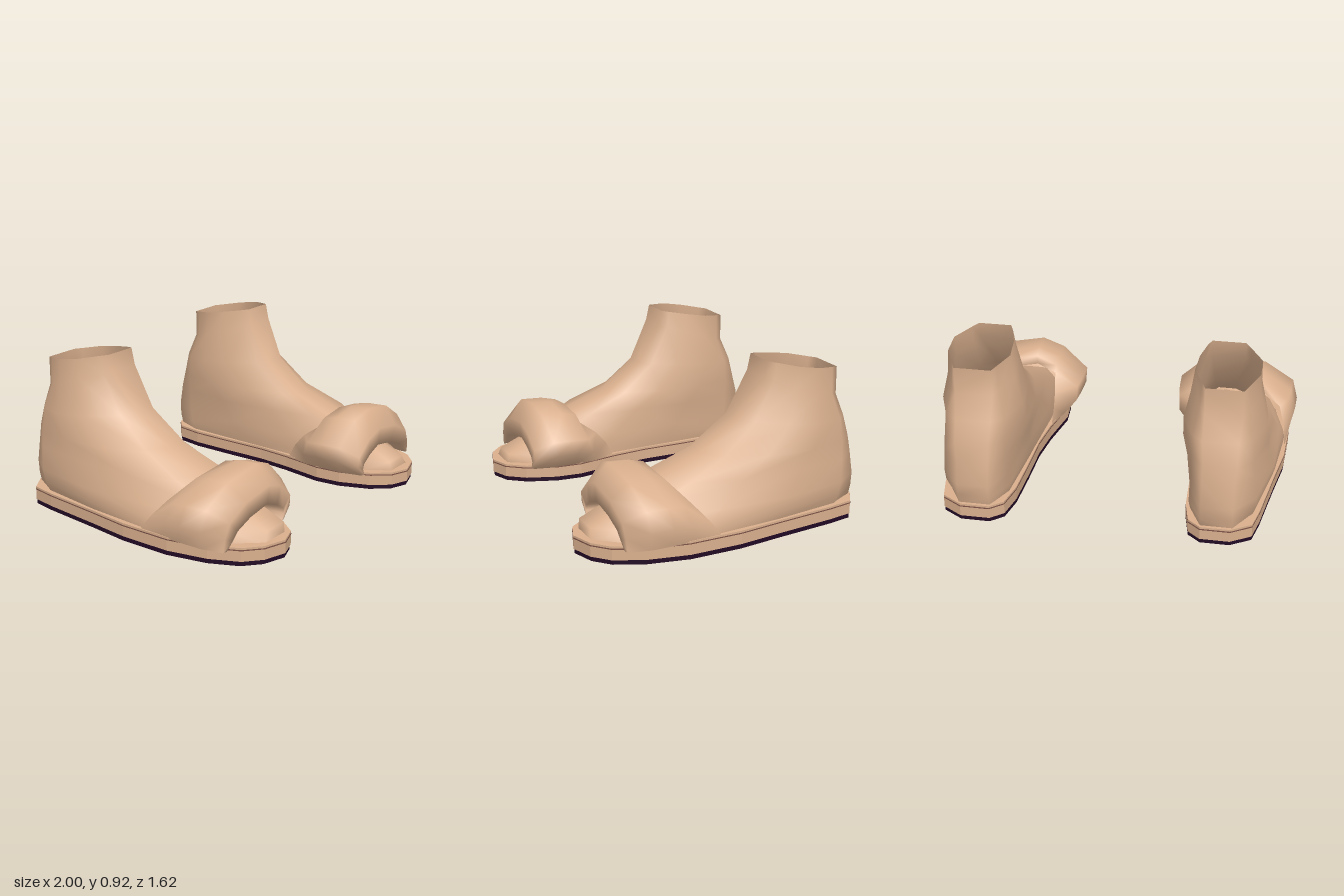
import * as THREE from 'three';

const tan = new THREE.MeshStandardMaterial({ color: 0xdab08e, side: THREE.DoubleSide });
tan.name = 'warm tan';
const dark = new THREE.MeshStandardMaterial({ color: 0x220a24 });
dark.name = 'dark plum';
const brown = new THREE.MeshStandardMaterial({ color: 0x7c5448 });
brown.name = 'seam brown';

// Smooth skin over rows of points; closed joins each row's end to its start
function loft(rows, closed) {
  const n = rows[0].length, index = [];
  for (let i = 0; i < rows.length - 1; i++) {
    for (let j = 0; j < (closed ? n : n - 1); j++) {
      const a = i * n + j, b = i * n + (j + 1) % n;
      index.push(a, a + n, b, b, a + n, b + n);
    }
  }
  const g = new THREE.BufferGeometry();
  g.setAttribute('position', new THREE.Float32BufferAttribute(rows.flat(2), 3));
  g.setIndex(index);
  g.computeVertexNormals();
  return g;
}

// Flat slab between two heights, from an outline of [x, z]
function slab(outline, y0, y1, hole) {
  const shape = new THREE.Shape(outline.map(p => new THREE.Vector2(...p)));
  if (hole) shape.holes.push(new THREE.Path(hole.map(p => new THREE.Vector2(...p))));
  const g = new THREE.ExtrudeGeometry(shape, { depth: y1 - y0, bevelEnabled: false });
  return g.rotateX(Math.PI / 2).translate(0, y1, 0);
}

const soleOutline = [
  [0.57, -0.81], [0.73, -0.81], [0.84, -0.74], [0.87, -0.6], [0.92, -0.25], [0.96, 0], [0.97, 0.3],
  [0.93, 0.53], [0.86, 0.69], [0.77, 0.77], [0.64, 0.81], [0.53, 0.77], [0.45, 0.67], [0.39, 0.5],
  [0.38, 0.35], [0.43, 0.1], [0.455, -0.1], [0.46, -0.35], [0.47, -0.6], [0.5, -0.75],
];
const grow = k => soleOutline.map(([x, z]) => [0.67 + (x - 0.67) * k, z * k]);

// Foot rings: front y, back y, back z, front z, inner x and outer x from heel to toe
const stations = [0, 0.1, 0.35, 0.65, 0.9, 1];
const footRings = [
  [0.09, 0.09, -0.79, 0.75, [0.57, 0.5, 0.475, 0.445, 0.46, 0.56], [0.74, 0.83, 0.9, 0.95, 0.86, 0.73]],
  [0.15, 0.15, -0.805, 0.74, [0.57, 0.49, 0.46, 0.44, 0.47, 0.55], [0.74, 0.85, 0.92, 0.94, 0.83, 0.7]],
  [0.22, 0.22, -0.81, 0.6, [0.57, 0.5, 0.46, 0.44, 0.49, 0.56], [0.74, 0.85, 0.92, 0.92, 0.8, 0.68]],
  [0.35, 0.35, -0.79, 0.36, [0.57, 0.5, 0.44, 0.45, 0.49, 0.54], [0.74, 0.84, 0.89, 0.89, 0.82, 0.66]],
  [0.45, 0.45, -0.765, 0.1, [0.57, 0.5, 0.43, 0.44, 0.5, 0.55], [0.75, 0.83, 0.885, 0.87, 0.78, 0.66]],
  [0.61, 0.57, -0.73, -0.11, [0.56, 0.5, 0.435, 0.45, 0.51, 0.56], [0.75, 0.82, 0.88, 0.86, 0.76, 0.68]],
  [0.83, 0.7, -0.67, -0.24, [0.56, 0.53, 0.47, 0.48, 0.52, 0.55], [0.76, 0.79, 0.84, 0.83, 0.76, 0.73]],
  [0.92, 0.85, -0.67, -0.26, [0.56, 0.54, 0.49, 0.5, 0.53, 0.55], [0.76, 0.78, 0.83, 0.83, 0.76, 0.73]],
];
function footRows() {
  return footRings.map(([yf, yb, zb, zf, inner, outer]) => {
    const at = (x, i) => {
      const t = stations[i];
      return [x, yb + (yf - yb) * t, zb + (zf - zb) * t];
    };
    return [...outer.map(at), ...inner.map(at).reverse()];
  });
}

// Puffy strap: arch stations from inner side to outer side
const crest = [[0.38, 0.09], [0.3, 0.18], [0.295, 0.27], [0.44, 0.4], [0.57, 0.44], [0.8, 0.4], [0.97, 0.3], [1, 0.19], [0.97, 0.09]];
const mouth = [[0.43, 0.09], [0.41, 0.13], [0.42, 0.16], [0.48, 0.2], [0.57, 0.235], [0.72, 0.21], [0.83, 0.17], [0.87, 0.13], [0.92, 0.09]];
const backEdge = [
  [0.43, 0.09, 0.12], [0.425, 0.18, 0.17], [0.43, 0.25, 0.23], [0.45, 0.33, 0.34], [0.57, 0.35, 0.4],
  [0.78, 0.335, 0.34], [0.91, 0.27, 0.26], [0.945, 0.18, 0.18], [0.955, 0.09, 0.11],
];
function strapRows() {
  const blend = (k, zMid, zSide) => crest.map(([x, y], i) => {
    const [u, v] = mouth[i], s = Math.abs(i - 4) / 4;
    return [u + (x - u) * k, v + (y - v) * k, zMid + (zSide - zMid) * s];
  });
  return [
    backEdge,
    blend(0.87, 0.38, 0.27),
    blend(0.97, 0.46, 0.38),
    blend(1, 0.58, 0.52),
    blend(0.5, 0.66, 0.64),
    blend(0, 0.65, 0.645),
    blend(-0.05, 0.5, 0.5),
  ];
}

function createSlipper(name) {
  const slipper = new THREE.Group();
  slipper.name = name;
  const add = (part, geometry, material) => {
    const mesh = new THREE.Mesh(geometry, material);
    mesh.name = part;
    slipper.add(mesh);
  };
  const foot = footRows();
  add('outsole', slab(grow(0.993), 0, 0.025), dark);
  add('midsole', slab(soleOutline, 0.025, 0.1, foot[0].map(p => [p[0], p[2]])), tan);
  add('soleSeam', slab(grow(1.003), 0.083, 0.089, grow(0.998)), brown);
  add('footAndAnkle', loft(foot, true), tan);
  add('puffyStrap', loft(strapRows(), false), tan);
  return slipper;
}

export function createModel() {
  const model = new THREE.Group();
  model.name = 'slippers';
  const left = createSlipper('leftSlipper');
  const right = createSlipper('rightSlipper');
  right.scale.x = -1;
  model.add(left, right);
  return model;
}
